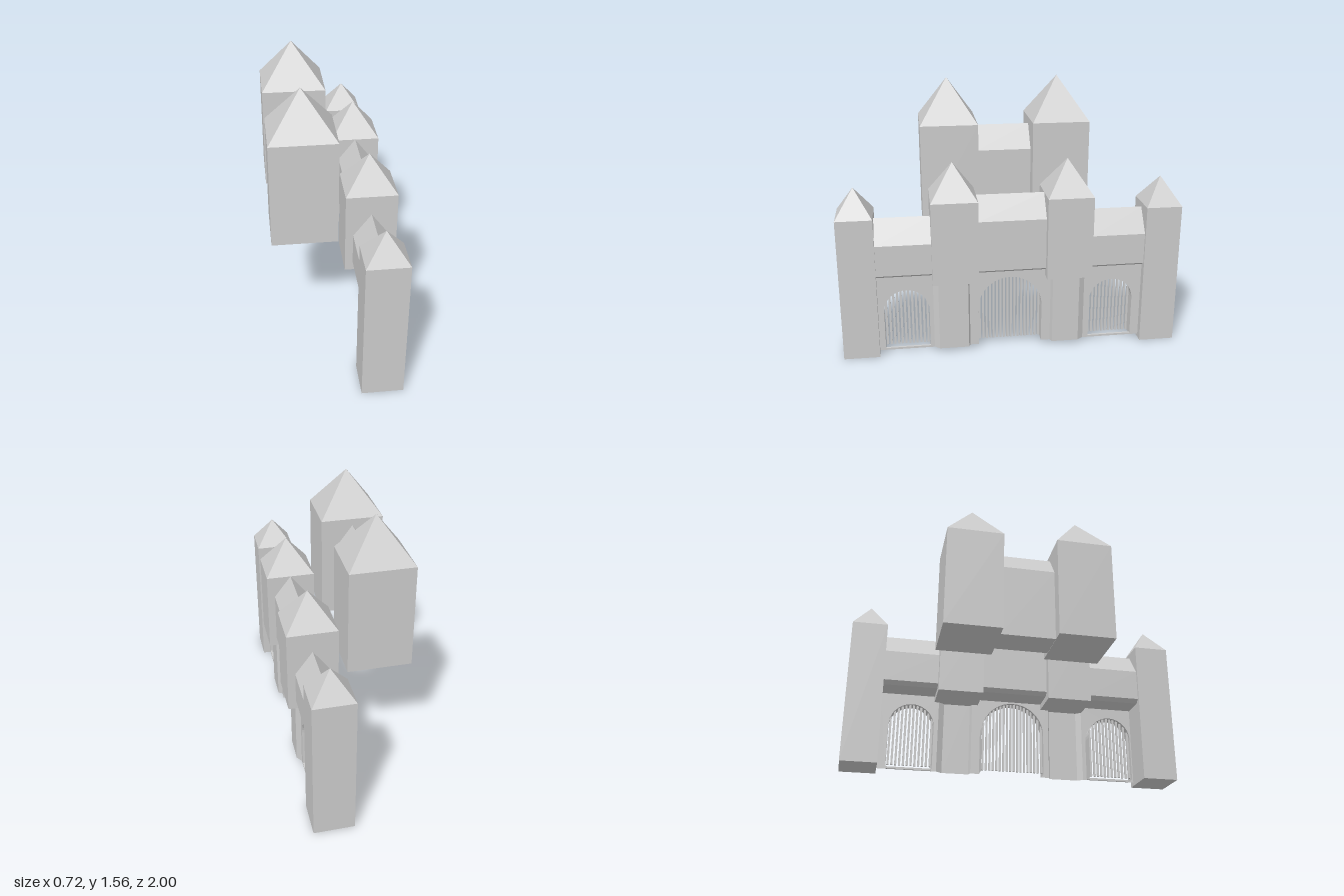
import * as THREE from 'three';

const material = new THREE.MeshStandardMaterial({ color: 0xcccccc, flatShading: true, side: THREE.DoubleSide });

function add(parent, name, geometry) {
  const mesh = new THREE.Mesh(geometry, material);
  mesh.name = name;
  parent.add(mesh);
  return mesh;
}

// Square tower shaft with a pyramid roof
function tower(name, [x0, x1], [z0, z1], [y0, eaves, apex]) {
  const g = new THREE.Group();
  g.name = name;
  const w = x1 - x0, d = z1 - z0;
  add(g, 'shaft', new THREE.BoxGeometry(w, eaves - y0, d)).position.y = (y0 + eaves) / 2;
  const roof = new THREE.ConeGeometry(Math.SQRT1_2, 1, 4, 1, true).rotateY(Math.PI / 4);
  roof.scale(w, apex - eaves, d);
  add(g, 'roof', roof).position.y = (eaves + apex) / 2;
  g.position.set((x0 + x1) / 2, 0, (z0 + z1) / 2);
  return g;
}

// Gabled gallery: an x-y cross-section extruded along z
function gallery(name, section, z0, z1) {
  const shape = new THREE.Shape(section.map(([x, y]) => new THREE.Vector2(x, y)));
  const geo = new THREE.ExtrudeGeometry(shape, { depth: z1 - z0, bevelEnabled: false });
  const mesh = new THREE.Mesh(geo.translate(0, 0, z0), material);
  mesh.name = name;
  return mesh;
}

// Open sheet swept along z or y: consecutive points joined between two offsets
function sheet(points, offset) {
  const pos = [], index = [];
  points.forEach((p, i) => {
    pos.push(...p, p[0] + offset[0], p[1] + offset[1], p[2] + offset[2]);
    if (i) index.push(2 * i - 2, 2 * i - 1, 2 * i, 2 * i - 1, 2 * i + 1, 2 * i);
  });
  const geo = new THREE.BufferGeometry();
  geo.setAttribute('position', new THREE.Float32BufferAttribute(pos, 3));
  geo.setIndex(index);
  geo.computeVertexNormals();
  return geo;
}

const WALL_X = 0.28, BASE = 0.02, WALL_TOP = 0.49;

// Wall panel with a round-headed opening, its lining and a grille of bars
function gate(name, z0, z1, centre, r, spring, bars, sill) {
  const g = new THREE.Group();
  g.name = name;
  const arch = [[centre - r, BASE]];
  for (let i = 0; i <= 20; i++) {
    const a = Math.PI * (1 - i / 20);
    arch.push([centre + r * Math.cos(a), spring + r * Math.sin(a)]);
  }
  arch.push([centre + r, BASE]);

  const outline = [[z0, BASE], ...arch, [z1, BASE], [z1, WALL_TOP], [z0, WALL_TOP]];
  const shape = new THREE.Shape(outline.map(([z, y]) => new THREE.Vector2(-z, y)));
  add(g, 'wall', new THREE.ShapeGeometry(shape).rotateY(Math.PI / 2)).position.x = WALL_X;
  add(g, 'archLining', sheet(arch.map(([z, y]) => [WALL_X, y, z]), [-0.075, 0, 0]));
  if (sill) add(g, 'sill', new THREE.BoxGeometry(0.012, 0.012, 2 * r)).position.set(WALL_X - 0.006, BASE + 0.006, centre);

  const pitch = 2 * r / bars;
  for (let i = 0; i < bars; i++) {
    const dz = (i + 0.5) * pitch - r;
    const top = spring + Math.sqrt(r * r - dz * dz), bottom = 0.03;
    const bar = add(g, 'bar', new THREE.BoxGeometry(0.012, top - bottom, pitch * 0.55));
    bar.position.set(0.225, (top + bottom) / 2, centre + dz);
  }
  return g;
}

export function createModel() {
  const model = new THREE.Group();
  model.name = 'gatehouse';

  // Towers in mirrored pairs
  for (const s of [-1, 1]) {
    const span = (a, b) => (s > 0 ? [a, b] : [-b, -a]);
    model.add(
      tower('endTower', [0.09, 0.325], span(0.79, 1), [0, 0.86, 1.02]),
      tower('gateTower', [0.06, 0.355], span(0.2, 0.468), [0.455, 0.948, 1.148]),
      tower('rearTower', [-0.36, 0.017], span(0.163, 0.503), [0.688, 1.312, 1.565])
    );
  }

  // Galleries with undercut lower edges between the front towers
  const section = (eaves, ridge) => [
    [0.135, 0.49], [0.28, 0.49], [0.31, 0.51], [0.31, eaves], [0.208, ridge], [0.105, eaves], [0.105, 0.51],
  ];
  model.add(
    gallery('leftGallery', section(0.695, 0.832), 0.468, 0.79),
    gallery('rightGallery', section(0.695, 0.832), -0.79, -0.468),
    gallery('centreGallery', section(0.815, 0.948), -0.2, 0.2),
    gallery('rearGallery', [[-0.275, 0.69], [-0.07, 0.69], [-0.07, 1.135], [-0.172, 1.272], [-0.275, 1.135]], -0.163, 0.163)
  );

  // Barred gates
  model.add(
    gate('leftGate', 0.465, 0.79, 0.622, 0.133, 0.27, 12, true),
    gate('centreGate', -0.235, 0.25, 0.008, 0.19, 0.262, 18, false),
    gate('rightGate', -0.79, -0.44, -0.606, 0.133, 0.27, 12, true)
  );

  // Folded piers below the gate towers
  const piers = [[0.25, 0.26, 0.435, 0.465], [-0.235, -0.245, -0.405, -0.44]];
  for (const [a, b, c, d] of piers) {
    const path = [[WALL_X, BASE, a], [0.305, BASE, b], [0.305, BASE, c], [WALL_X, BASE, d]];
    const folds = sheet(path, [0, WALL_TOP - BASE, 0]);
    add(model, 'pier', folds);
  }

  return model;
}
